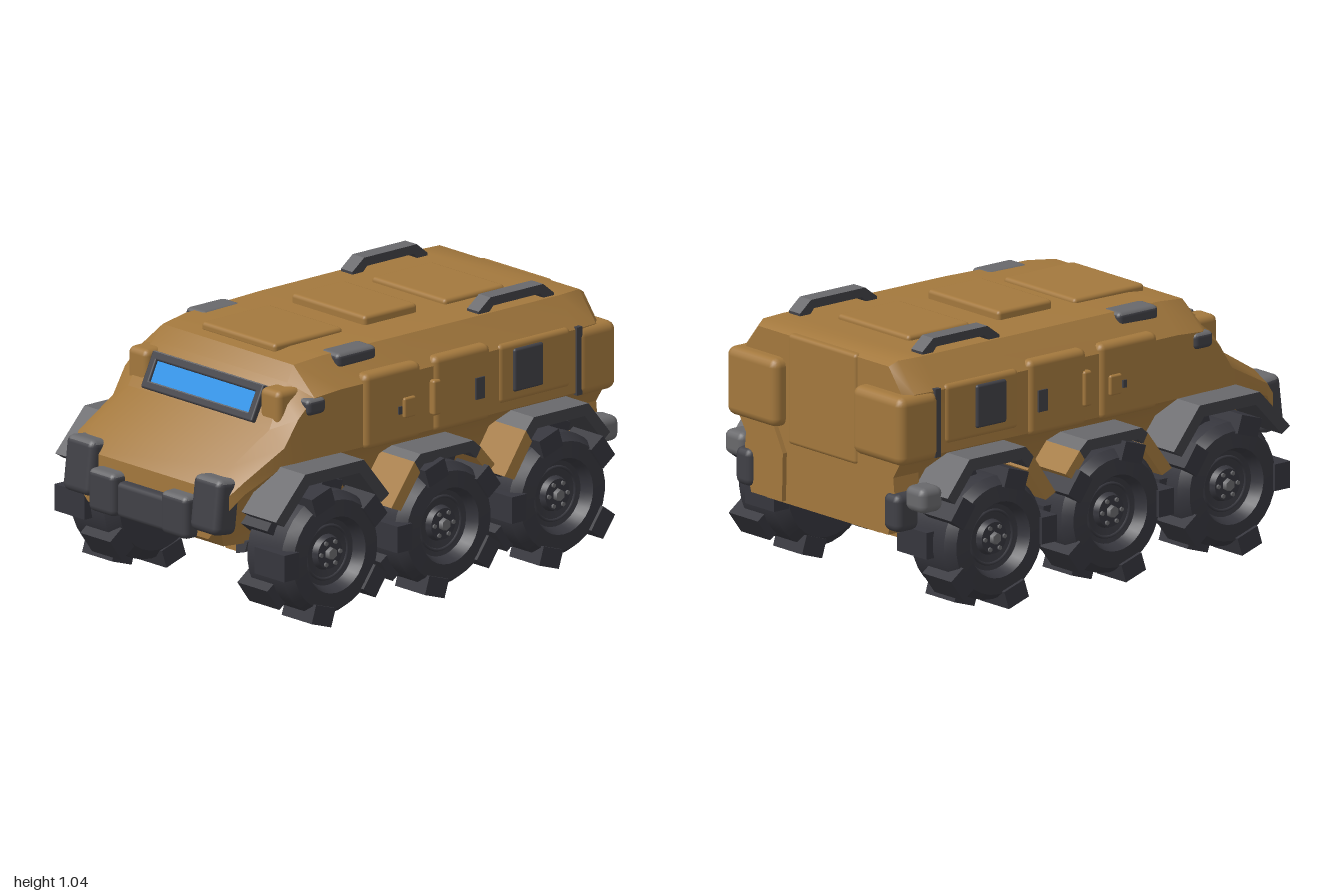
import * as THREE from 'three';
import { toCreasedNormals } from 'three/addons/utils/BufferGeometryUtils.js';
import { RoundedBoxGeometry } from 'three/addons/geometries/RoundedBoxGeometry.js';

const mat = (name, color) => Object.assign(new THREE.MeshStandardMaterial({ color }), { name });

export function createModel() {
  const root = new THREE.Group();
  root.name = 'armouredTruck';
  const sand = mat('sand paint', 0xa3783d);
  const rubber = mat('dark rubber', 0x36363d);
  const steel = mat('grey steel', 0x68686b);
  const iron = mat('dark iron', 0x404046);
  const glass = mat('blue glass', 0x2a98f0);
  const worn = [iron, steel]; // dark sides, grey upward faces

  // Puts every upward-facing triangle in material slot 1, the rest in slot 0
  const coatTop = geo => {
    const normal = geo.attributes.normal;
    geo.clearGroups();
    for (let i = 0; i < normal.count; i += 3) {
      const up = normal.getY(i) + normal.getY(i + 1) + normal.getY(i + 2);
      geo.addGroup(i, 3, up > 1.5 ? 1 : 0);
    }
    return geo;
  };
  const add = (name, geo, material, parent = root) => {
    const m = new THREE.Mesh(material === worn ? coatTop(geo) : geo, material);
    m.name = name;
    parent.add(m);
    return m;
  };
  // Box given by its limits on each axis; r rounds the edges
  const box = (name, material, [x0, x1], [y0, y1], [z0, z1], r = 0, parent = root) => {
    const s = [x1 - x0, y1 - y0, Math.abs(z1 - z0)];
    const m = add(name, r ? new RoundedBoxGeometry(...s, 2, r) : new THREE.BoxGeometry(...s), material, parent);
    m.position.set((x0 + x1) / 2, (y0 + y1) / 2, (z0 + z1) / 2);
    return m;
  };
  const extrude = (pts, depth) => new THREE.ExtrudeGeometry(
    new THREE.Shape(pts.map(p => new THREE.Vector2(...p))), { depth, bevelEnabled: false });
  // Side outline in x, y extruded between two z limits
  const plate = (name, material, pts, z0, z1) => {
    add(name, extrude(pts, Math.abs(z1 - z0)), material).position.z = Math.min(z0, z1);
  };
  // End outline in z, y extruded along x on side s
  const section = (name, material, pts, s, x0, x1) => {
    const geo = extrude(pts.map(([z, y]) => [-s * z, y]), x1 - x0).rotateY(Math.PI / 2);
    add(name, geo, material).position.x = x0;
  };

  // Hull: x, roof y, roof half width, shoulder y, half width, waist y, sill y, sill half width, floor y, floor half width
  const stations = [
    [-0.94, 0.55, 0.36, 0.52, 0.43, 0.46, 0.42, 0.41, 0.35, 0.34],
    [-0.87, 0.63, 0.39, 0.59, 0.47, 0.54, 0.48, 0.41, 0.31, 0.35],
    [-0.68, 0.745, 0.40, 0.69, 0.485, 0.62, 0.54, 0.41, 0.29, 0.34],
    [-0.615, 0.87, 0.39, 0.79, 0.49, 0.62, 0.54, 0.42, 0.29, 0.34],
    [-0.57, 0.905, 0.38, 0.83, 0.49, 0.62, 0.54, 0.42, 0.29, 0.34],
    [-0.53, 0.965, 0.37, 0.86, 0.49, 0.62, 0.54, 0.42, 0.29, 0.34],
    [-0.40, 0.98, 0.385, 0.87, 0.495, 0.62, 0.54, 0.42, 0.29, 0.34],
    [0.00, 0.985, 0.40, 0.87, 0.50, 0.62, 0.54, 0.42, 0.29, 0.34],
    [0.80, 0.985, 0.405, 0.87, 0.50, 0.62, 0.54, 0.42, 0.29, 0.34],
    [0.91, 0.985, 0.395, 0.87, 0.49, 0.62, 0.54, 0.42, 0.295, 0.34],
    [0.945, 0.965, 0.38, 0.85, 0.47, 0.62, 0.54, 0.40, 0.30, 0.33],
  ];
  const verts = [], faces = [], n = 10;
  for (const [x, yt, wt, ys, w, ym, yl, wl, yb, wb] of stations) {
    const half = [[wt, yt], [w, ys], [w, ym], [wl, yl], [wb, yb]];
    half.forEach(([z, y]) => verts.push(x, y, z));
    half.reverse().forEach(([z, y]) => verts.push(x, y, -z));
  }
  const last = (stations.length - 1) * n;
  for (let i = 0; i < last; i += n)
    for (let j = 0; j < n; j++) {
      const k = (j + 1) % n;
      faces.push(i + j, i + k, i + n + k, i + j, i + n + k, i + n + j);
    }
  for (let j = 1; j < n - 1; j++) faces.push(0, j + 1, j, last, last + j, last + j + 1);
  const hull = new THREE.BufferGeometry();
  hull.setAttribute('position', new THREE.Float32BufferAttribute(verts, 3));
  hull.setIndex(faces);
  add('hull', toCreasedNormals(hull, 0.6), sand);

  // Roof hatches and tailgate
  [[-0.48, -0.13, 1.0], [-0.02, 0.25, 1.02], [0.39, 0.70, 1.005]].forEach(([a, b, top]) =>
    box('roofHatch', sand, [a, b], [0.96, top], [-0.21, 0.21], 0.015));
  box('tailgate', sand, [0.9, 0.955], [0.54, 0.975], [-0.2, 0.2], 0.015);

  // Windscreen: dark frame round a thin pane, leaning back
  const screen = new THREE.Group();
  screen.name = 'windscreen';
  screen.position.set(-0.63, 0.812, 0);
  screen.rotation.z = -0.45;
  root.add(screen);
  box('windscreenPane', glass, [-0.027, -0.019], [-0.045, 0.042], [-0.285, 0.285], 0, screen);
  [[-0.075, -0.043], [0.04, 0.075]].forEach(y =>
    box('windscreenFrame', worn, [-0.038, 0.03], y, [-0.315, 0.315], 0.008, screen));
  [-1, 1].forEach(s =>
    box('windscreenPost', worn, [-0.038, 0.03], [-0.07, 0.07], [s * 0.28, s * 0.315], 0.008, screen));

  // Front bumper centre
  box('bumperCentre', iron, [-0.98, -0.88], [0.34, 0.48], [-0.14, 0.14], 0.02);

  // Wheel geometries, axis along y
  const tyreGeo = toCreasedNormals(new THREE.LatheGeometry([
    [0, -0.14], [0.2, -0.14], [0.243, -0.1], [0.243, 0.09], [0.215, 0.13], [0.15, 0.135],
    [0.14, 0.115], [0.13, 0.085], [0.07, 0.075], [0.062, 0.1], [0, 0.1],
  ].map(p => new THREE.Vector2(...p)), 30), 0.5);
  const lugGeo = new THREE.BoxGeometry(0.075, 0.17, 0.105);
  const boltGeo = new THREE.CylinderGeometry(0.009, 0.009, 0.012, 6);
  const capGeo = new THREE.CylinderGeometry(0.022, 0.026, 0.02, 6);
  const rimGeo = new THREE.TorusGeometry(0.105, 0.006, 6, 30).rotateX(Math.PI / 2);
  const wheel = (x, s) => {
    const g = new THREE.Group();
    g.name = 'wheel';
    g.position.set(x, 0.277, s * 0.505);
    g.rotation.x = s * Math.PI / 2;
    root.add(g);
    add('tyre', tyreGeo, rubber, g);
    add('rimRing', rimGeo, rubber, g).position.y = 0.082;
    add('hubCap', capGeo, steel, g).position.y = 0.108;
    // Lugs alternate between the inner and outer shoulder
    for (let i = 0; i < 10; i++) {
      const a = i * Math.PI / 5;
      const lug = add('treadLug', lugGeo, rubber, g);
      lug.position.set(0.2375 * Math.cos(a), i % 2 ? 0.06 : -0.06, 0.2375 * Math.sin(a));
      lug.rotation.y = -a;
    }
    for (let i = 0; i < 6; i++) {
      const a = i * Math.PI / 3;
      add('wheelBolt', boltGeo, steel, g).position.set(0.048 * Math.cos(a), 0.102, 0.048 * Math.sin(a));
    }
  };

  // Mudguard: an arched strip pulled in towards the wheel centre
  const guard = (name, material, cx, outer, s, k = 0.86) => {
    const inner = outer.map(([x, y]) => [cx + (x - cx) * k, 0.28 + (y - 0.28) * k]).reverse();
    plate(name, material, [...outer, ...inner], s * 0.43, s * 0.625);
  };
  const wheelX = [-0.555, 0.025, 0.61];

  // Everything that repeats on both sides
  for (const s of [1, -1]) {
    const side = (a, b) => [s * a, s * b];
    wheelX.forEach(x => wheel(x, s));

    guard('frontMudguard', worn, wheelX[0], [[-0.85, 0.46], [-0.7, 0.62], [-0.4, 0.62], [-0.27, 0.46]], s);
    guard('middleMudguard', worn, wheelX[1], [[-0.14, 0.56], [-0.11, 0.585], [0.16, 0.585], [0.2, 0.55]], s);
    guard('middleGuardTail', sand, wheelX[1], [[0.2, 0.55], [0.27, 0.47]], s);
    guard('rearMudguard', worn, wheelX[2], [[0.43, 0.57], [0.47, 0.615], [0.75, 0.615], [0.86, 0.48]], s);
    guard('middleStrut', sand, wheelX[1], [[-0.26, 0.4], [-0.14, 0.56]], s, 0.83);
    guard('rearStrut', sand, wheelX[2], [[0.32, 0.41], [0.43, 0.57]], s, 0.83);

    // Belly keel with a dark outer edge
    section('bellyKeel', sand, [[0.16, 0.3], [0.22, 0.25], [0.3, 0.25], [0.3, 0.3]], s, -0.74, 0.82);
    section('bellyRail', iron, [[0.3, 0.31], [0.3, 0.25], [0.35, 0.265], [0.365, 0.31]], s, -0.76, 0.82);

    // Cab cheeks beside the windscreen
    box('cabCheek', sand, [-0.66, -0.5], [0.7, 0.893], side(0.318, 0.43), 0.025);

    // Front bumper blocks
    box('bumperOuter', worn, [-0.98, -0.865], [0.38, 0.6], side(0.28, 0.44), 0.03).rotation.z = -0.12;
    box('bumperInner', worn, [-1, -0.9], [0.34, 0.51], side(0.13, 0.28), 0.025);

    // Rear corner pillars, pinched above the foot
    box('rearPillar', sand, [0.8, 1.0], [0.6, 0.87], side(0.22, 0.515), 0.035);
    section('rearPillarFoot', sand, [
      [0.22, 0.31], [0.4, 0.31], [0.44, 0.45], [0.43, 0.54], [0.495, 0.64], [0.29, 0.64], [0.215, 0.5],
    ], s, 0.84, 0.965);
    box('rearBumperBlock', iron, [0.87, 0.985], [0.33, 0.48], side(0.385, 0.48), 0.03);
    box('rearBumperEnd', steel, [0.84, 0.95], [0.42, 0.52], side(0.47, 0.585), 0.03);

    // Doors, latches and dark fittings on the flank
    [[-0.29, 0.0], [0.065, 0.355]].forEach(x =>
      box('sideDoor', sand, x, [0.605, 0.905], side(0.42, 0.513), 0.025));
    box('sidePanel', sand, [0.4, 0.77], [0.65, 0.885], side(0.42, 0.507), 0.02);
    box('doorLatch', sand, [-0.1, -0.04], [0.7, 0.78], side(0.5, 0.525), 0.008);
    box('doorKnob', iron, [-0.125, -0.108], [0.72, 0.75], side(0.5, 0.52));
    box('doorHinge', sand, [0.05, 0.09], [0.68, 0.82], side(0.48, 0.525), 0.01);
    box('doorHandle', iron, [0.27, 0.315], [0.7, 0.785], side(0.5, 0.52));
    box('sideVent', iron, [0.47, 0.62], [0.69, 0.86], side(0.49, 0.518), 0.01);
    box('rearSlot', iron, [0.795, 0.822], [0.61, 0.88], side(0.47, 0.51));

    // Lamps and roof rails
    box('cabLamp', worn, [-0.575, -0.48], [0.795, 0.86], side(0.42, 0.505), 0.02);
    box('roofLamp', worn, [-0.36, -0.16], [0.925, 0.985], side(0.325, 0.435), 0.02);
    plate('roofRail', worn, [
      [0.4, 0.97], [0.4, 0.995], [0.46, 1.04], [0.73, 1.04], [0.785, 0.995], [0.785, 0.97],
      [0.745, 0.97], [0.715, 1.005], [0.475, 1.005], [0.44, 0.97],
    ], s * 0.325, s * 0.39);
  }
  return root;
}
